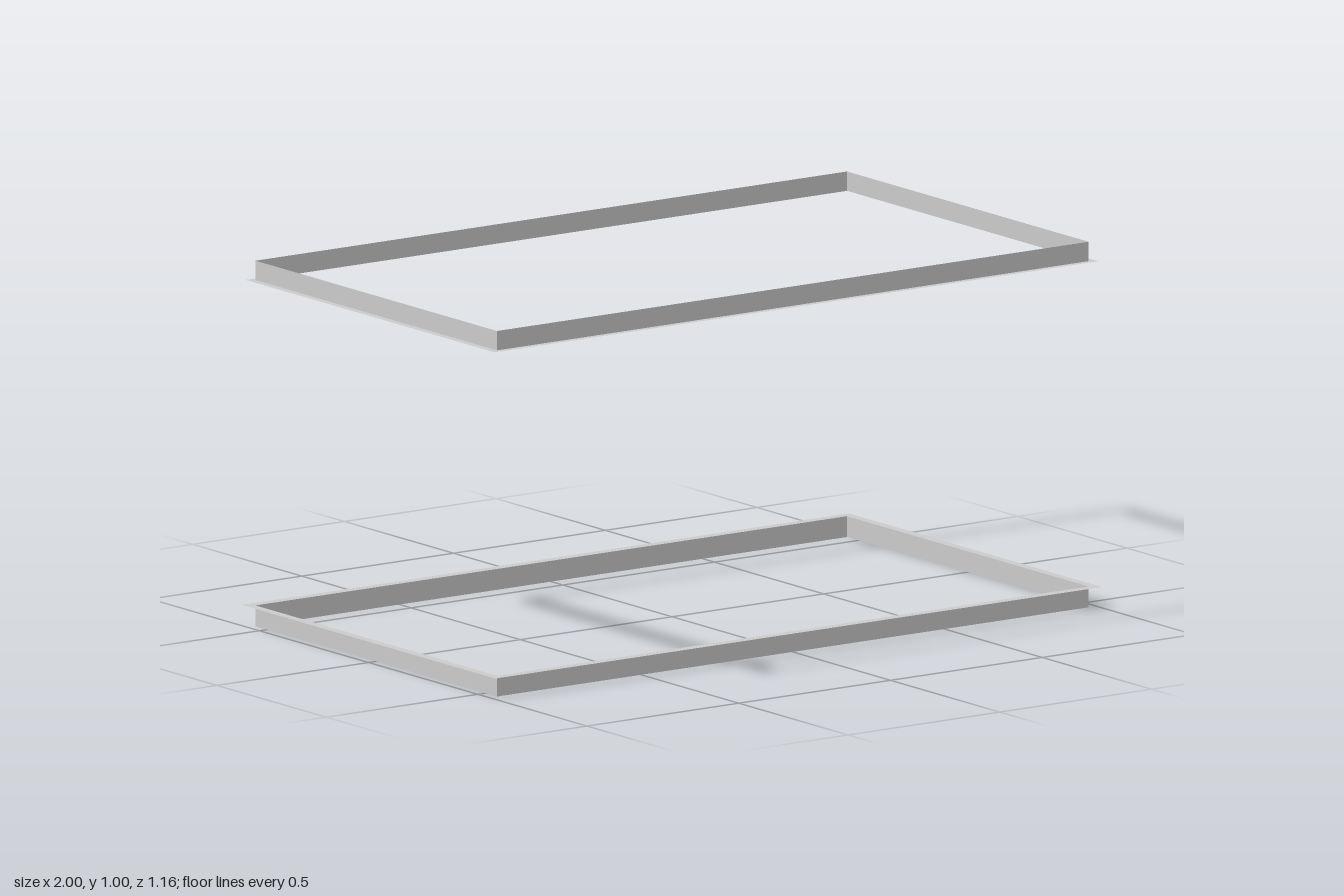
import * as THREE from 'three';

const material = new THREE.MeshStandardMaterial({ color: 0xcccccc, flatShading: true, side: THREE.DoubleSide });
const WALL_X = 0.975, WALL_Z = 0.553;

// Thin angle-section rectangular frame: upright walls plus a flat outward flange
function angleFrame(name, bottom, top, flangeY, flangeX, flangeZ) {
  const frame = new THREE.Group();
  frame.name = name;
  const height = top - bottom;

  // Upright walls, one sheet per side
  for (let i = 0; i < 4; i++) {
    const long = i % 2 === 0;
    const wall = new THREE.Mesh(new THREE.PlaneGeometry(2 * (long ? WALL_X : WALL_Z), height), material);
    const angle = i * Math.PI / 2;
    wall.name = ['frontWall', 'leftWall', 'backWall', 'rightWall'][i];
    wall.rotation.y = angle;
    wall.position.set(Math.sin(angle) * WALL_X, (bottom + top) / 2, Math.cos(angle) * WALL_Z);
    frame.add(wall);
  }

  // Flat flange ring with mitred corners
  const rect = (x, z) => [[-x, -z], [x, -z], [x, z], [-x, z]].map(p => new THREE.Vector2(...p));
  const ring = new THREE.Shape(rect(flangeX, flangeZ));
  ring.holes.push(new THREE.Path(rect(WALL_X, WALL_Z).reverse()));
  const flange = new THREE.Mesh(new THREE.ShapeGeometry(ring), material);
  flange.name = 'flange';
  flange.rotation.x = -Math.PI / 2;
  flange.position.y = flangeY;
  frame.add(flange);
  return frame;
}

export function createModel() {
  const model = new THREE.Group();
  model.name = 'framePair';
  model.add(
    angleFrame('lowerFrame', 0, 0.057, 0.057, 1, 0.58),
    angleFrame('upperFrame', 0.947, 1, 0.947, 0.995, 0.57)
  );
  return model;
}
